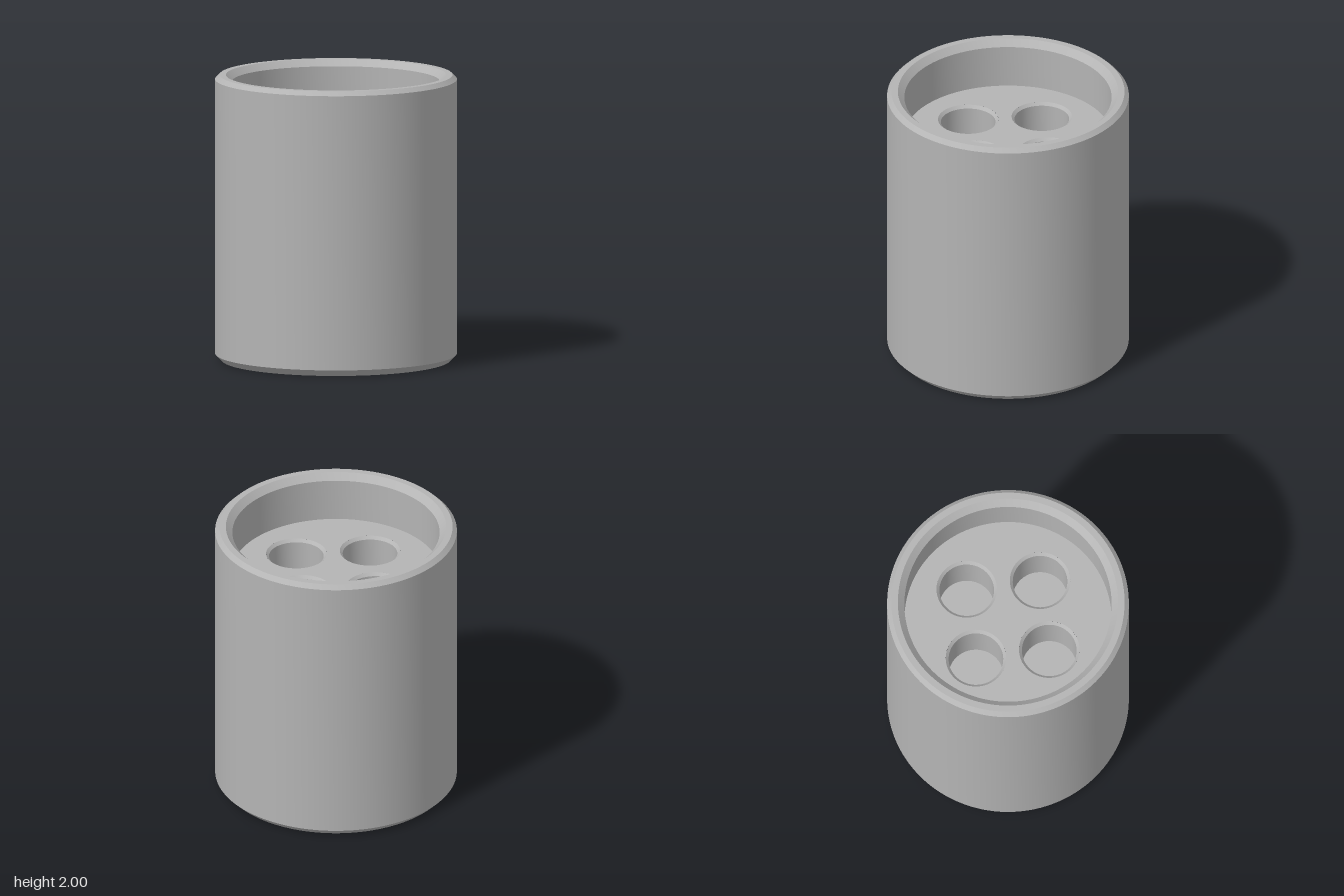
import * as THREE from 'three';
import { toCreasedNormals } from 'three/addons/utils/BufferGeometryUtils.js';

const FLOOR_Y = 1.65;       // floor of the top recess
const CEILING_Y = 1.0;      // ceiling of the lower bore
const SOCKET_Y = 1.3;       // bottom of the four sockets
const BORE = 0.72;
const SOCKET_RING = 0.363;  // distance of the sockets from the axis

// Revolve a [radius, height] profile, keeping its corners sharp
function revolve(profile, segments) {
  const points = profile.map(([r, y]) => new THREE.Vector2(r, y));
  return toCreasedNormals(new THREE.LatheGeometry(points, segments), 0.5);
}

export function createModel() {
  const model = new THREE.Group();
  model.name = 'chamferedHousing';
  const metal = new THREE.MeshStandardMaterial({ color: 0xb4b4b4 });
  metal.name = 'plain grey';

  function add(geometry, name) {
    const mesh = new THREE.Mesh(geometry, metal);
    mesh.name = name;
    model.add(mesh);
    return mesh;
  }

  // Shell: lower bore, chamfered rims, outer wall and recess wall
  add(revolve([
    [0, CEILING_Y], [BORE, CEILING_Y], [BORE, 0.045], [0.765, 0],
    [0.795, 0], [0.84, 0.045], [0.84, 1.97], [0.81, 2],
    [0.765, 2], [BORE, 1.955], [BORE, FLOOR_Y],
  ], 128), 'shell');

  // Recess floor with four round openings
  const floor = new THREE.Shape().absarc(0, 0, BORE, 0, Math.PI * 2);
  const socket = revolve([
    [0.21, FLOOR_Y], [0.19, FLOOR_Y - 0.02], [0.19, SOCKET_Y], [0, SOCKET_Y],
  ], 64);
  for (let i = 0; i < 4; i++) {
    const angle = i * Math.PI / 2;
    const x = SOCKET_RING * Math.cos(angle);
    const z = SOCKET_RING * Math.sin(angle);
    floor.holes.push(new THREE.Path().absarc(x, z, 0.21, 0, Math.PI * 2, true));
    // Blind socket below each opening
    add(socket, 'socket' + (i + 1)).position.set(x, 0, z);
  }
  const floorGeometry = new THREE.ShapeGeometry(floor, 64);
  floorGeometry.rotateX(-Math.PI / 2);
  add(floorGeometry, 'recessFloor').position.y = FLOOR_Y;

  return model;
}
